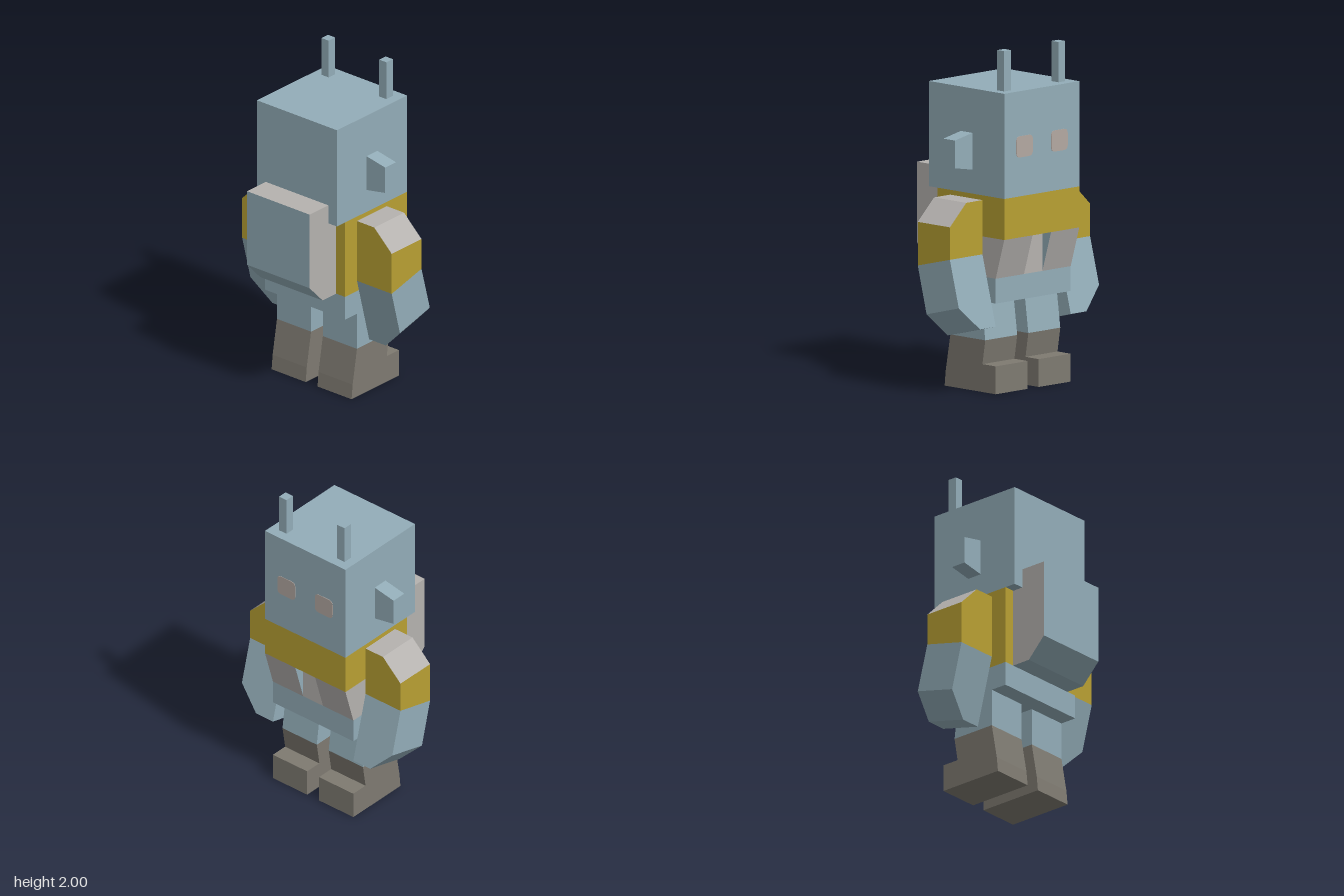
import * as THREE from 'three';
import { ConvexGeometry } from 'three/addons/geometries/ConvexGeometry.js';

const mat = (name, color) => {
  const m = new THREE.MeshStandardMaterial({ color });
  m.name = name;
  return m;
};

export function createModel() {
  const model = new THREE.Group();
  model.name = 'robotFigure';

  const blue = mat('steelBlue', 0x93adb8);
  const yellow = mat('mustardYellow', 0xb8a033);
  const grey = mat('lightGrey', 0xb5b2af);
  const boot = mat('bootGrey', 0x7e7a71);
  const eye = mat('eyeBeige', 0xb3a8a2);

  const add = (name, geometry, material) => {
    const mesh = new THREE.Mesh(geometry, material);
    mesh.name = name;
    model.add(mesh);
    return mesh;
  };

  // Box given by its limits
  const box = (x0, x1, y0, y1, z0, z1) =>
    new THREE.BoxGeometry(Math.abs(x1 - x0), y1 - y0, z1 - z0)
      .translate((x0 + x1) / 2, (y0 + y1) / 2, (z0 + z1) / 2);

  // Convex solid through cross-sections [x, [[z, y], ...]]
  const hull = (sections, side = 1) => new ConvexGeometry(
    sections.flatMap(([x, pts]) => pts.map(([z, y]) => new THREE.Vector3(x * side, y, z))));

  // Side outline [z, y] extruded along x
  const prism = (pts, x0, x1) => new THREE.ExtrudeGeometry(
    new THREE.Shape(pts.map(([z, y]) => new THREE.Vector2(-z, y))),
    { depth: x1 - x0, bevelEnabled: false }).rotateY(Math.PI / 2).translate(x0, 0, 0);

  // Chooses a material index for each triangle from its normal
  const paint = (geometry, pick) => {
    const g = geometry.index ? geometry.toNonIndexed() : geometry;
    g.clearGroups();
    const n = new THREE.Vector3();
    for (let i = 0; i < g.attributes.position.count; i += 3) {
      n.fromBufferAttribute(g.attributes.normal, i);
      g.addGroup(i, 3, pick(n));
    }
    return g;
  };

  // Head
  add('head', box(-0.305, 0.305, 1.15, 1.765, -0.39, 0.225), blue);

  // Torso: the underside of the chest forms the ceiling of the front notch
  add('chest', paint(box(-0.305, 0.305, 0.91, 1.15, -0.39, 0.155),
    n => (n.y < -0.5 ? 1 : 0)), [yellow, blue]);
  add('lowerBack', box(-0.305, 0.305, 0.675, 0.91, -0.12, 0.155), yellow);
  add('notchBack', box(-0.075, 0.075, 0.675, 0.91, -0.32, -0.12), grey);
  add('hips', box(-0.305, 0.305, 0.53, 0.675, -0.32, 0.155), blue);

  // Backpack
  add('backpack', paint(prism(
    [[0.155, 0.675], [0.275, 0.675], [0.39, 0.795], [0.39, 1.265], [0.155, 1.265]], -0.238, 0.238),
    n => (Math.abs(n.x) > 0.5 || n.y > 0.5 ? 0 : 1)), [grey, blue]);

  // Rounded eye plate
  const eyeShape = new THREE.Shape();
  const w = 0.067, h = 0.062, r = 0.03;
  eyeShape.moveTo(-w + r, -h);
  eyeShape.lineTo(w - r, -h);
  eyeShape.quadraticCurveTo(w, -h, w, -h + r);
  eyeShape.lineTo(w, h - r);
  eyeShape.quadraticCurveTo(w, h, w - r, h);
  eyeShape.lineTo(-w + r, h);
  eyeShape.quadraticCurveTo(-w, h, -w, h - r);
  eyeShape.lineTo(-w, -h + r);
  eyeShape.quadraticCurveTo(-w, -h, -w + r, -h);

  for (const side of [1, -1]) {
    const label = side > 0 ? 'left' : 'right';

    // Eye, antenna and tapered ear
    add(label + 'Eye', new THREE.ExtrudeGeometry(eyeShape, { depth: 0.004, bevelEnabled: false, curveSegments: 4 })
      .translate(side * 0.142, 1.44, -0.393), eye);
    add(label + 'Antenna', box(side * 0.192, side * 0.248, 1.765, 2, -0.332, -0.275), blue);
    add(label + 'Ear', hull([
      [0.305, [[-0.035, 1.29], [-0.035, 1.505], [-0.13, 1.29], [-0.13, 1.505]]],
      [0.447, [[-0.035, 1.315], [-0.035, 1.477], [-0.13, 1.315], [-0.13, 1.477]]],
    ], side), blue);

    // Sloping front panel with a blue edge on the notch
    const panel = [[-0.39, 0.91], [-0.32, 0.675], [-0.12, 0.675], [-0.12, 0.91]];
    add(label + 'FrontPanel', paint(hull([[0.075, panel], [0.305, panel]], side),
      n => (n.x * side < -0.9 ? 1 : 0)), [grey, blue]);

    // Upper arm with a grey shoulder top
    const upper = top => [[0.05, 0.74], [0.05, top], [-0.212, top], [-0.212, 0.805]];
    add(label + 'UpperArm', paint(hull(
      [[0.305, upper(1.122)], [0.437, upper(1.122)], [0.57, upper(0.995)]], side),
      n => (n.y > 0.3 ? 1 : 0)), [yellow, grey]);

    // Forearm swung forward, chamfered at the bottom outer edge
    const fore = (back, front) => [[0.05, 0.74], back, front, [-0.212, 0.805]];
    const long = fore([-0.057, 0.328], [-0.32, 0.395]);
    const short = fore([-0.022, 0.463], [-0.285, 0.53]);
    add(label + 'Forearm', hull([[0.305, long], [0.433, long], [0.57, short]], side), blue);

    // Leg and boot
    const x0 = side > 0 ? 0.045 : -0.305, x1 = side > 0 ? 0.305 : -0.045;
    add(label + 'Leg', prism(
      [[0.05, 0.53], [0.05, 0.305], [-0.235, 0.305], [-0.205, 0.53]], x0, x1), blue);
    add(label + 'Boot', prism(
      [[0.05, 0.305], [0.088, 0.09], [0.097, 0], [-0.32, 0], [-0.32, 0.163], [-0.212, 0.163], [-0.235, 0.305]],
      x0, x1), boot);
  }

  return model;
}
